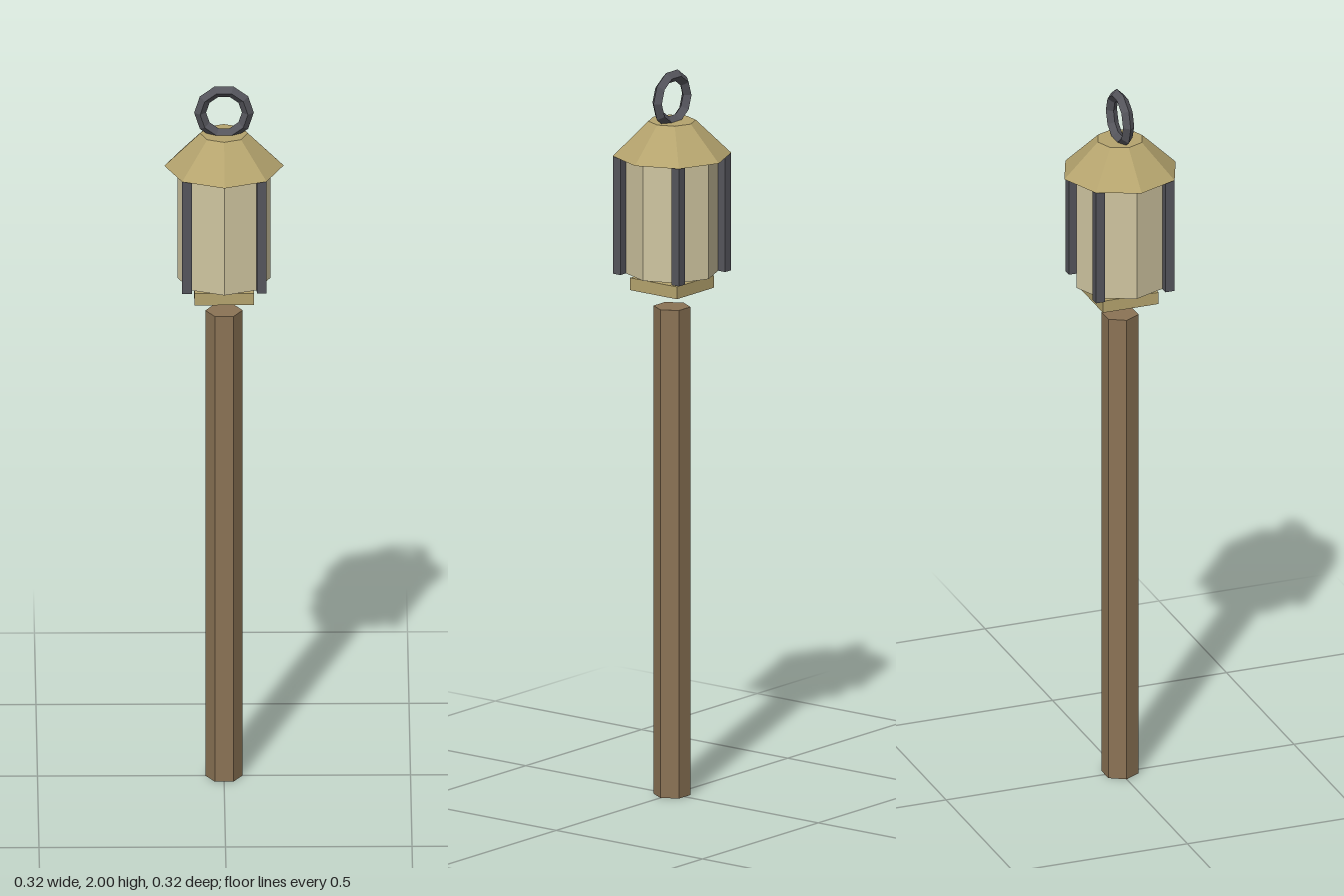
import * as THREE from 'three';

export function createModel() {
  const model = new THREE.Group();
  const mat = (name, color) => {
    const m = new THREE.MeshStandardMaterial({ color, flatShading: true });
    m.name = name;
    return m;
  };
  const wood = mat('wood', 0x8b7355);
  const brass = mat('brass', 0xb5a46e);
  const glass = mat('pale glass', 0xcfc5a0);
  const iron = mat('dark iron', 0x55555c);

  const add = (name, geometry, material, x, y, z) => {
    const mesh = new THREE.Mesh(geometry, material);
    mesh.name = name;
    mesh.position.set(x, y, z);
    model.add(mesh);
    return mesh;
  };

  // Hexagonal pole with corners on the x axis
  add('pole', new THREE.CylinderGeometry(0.05, 0.05, 1.35, 6), wood, 0, 0.675, 0).rotation.y = Math.PI / 6;

  // Square plate floating between pole and lantern
  add('basePlate', new THREE.BoxGeometry(0.16, 0.034, 0.16), brass, 0, 1.415, 0);

  // Octagonal lantern body
  const bottom = 1.445, top = 1.77, height = top - bottom, middle = (top + bottom) / 2;
  add('lanternBody', new THREE.CylinderGeometry(0.125, 0.125, height, 8), glass, 0, middle, 0);

  // Four corner bars
  for (const x of [-0.1, 0.1]) {
    for (const z of [-0.1, 0.1]) {
      add('cornerBar', new THREE.BoxGeometry(0.026, height, 0.026), iron, x, middle, z);
    }
  }

  // Truncated octagonal roof
  add('roof', new THREE.CylinderGeometry(0.064, 0.16, 0.094, 8), brass, 0, 1.817, 0);

  // Hanging ring, diamond in section
  add('ring', new THREE.TorusGeometry(0.064, 0.016, 4, 10), iron, 0, 1.924, 0);

  return model;
}
